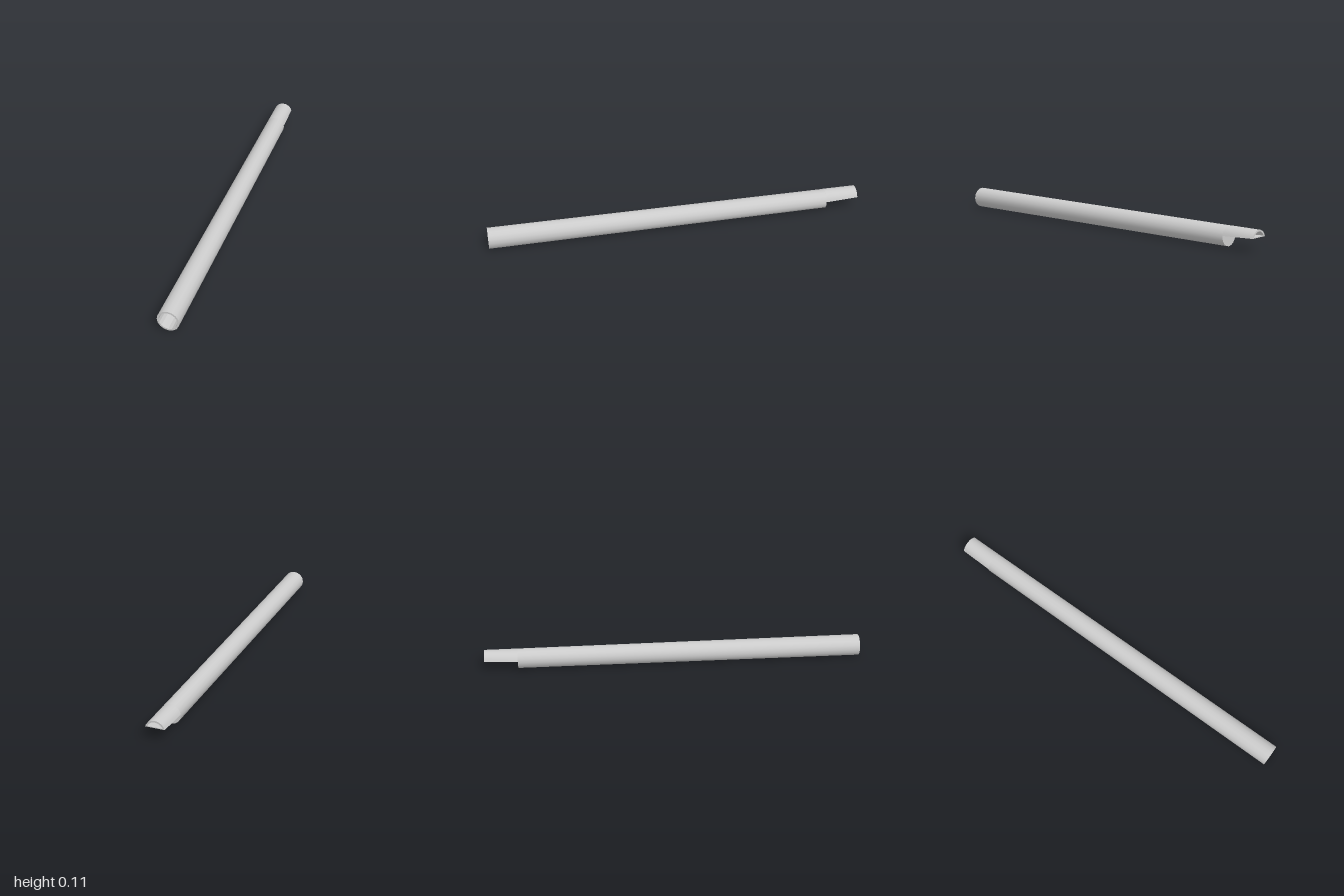
import * as THREE from 'three';
import { toCreasedNormals } from 'three/addons/utils/BufferGeometryUtils.js';

const AXIS_Y = 0.057, SIDES = 16;
const FRONT_Z = 1, STEP_Z = -0.825, BACK_Z = -1;

// outer radius of the slightly tapering barrel
const outerRadius = (z) => THREE.MathUtils.mapLinear(z, BACK_Z, FRONT_Z, 0.0515, 0.056);

// full round cross-section
function circle(r, z) {
  return Array.from({ length: SIDES }, (_, i) => {
    const a = (i / SIDES) * Math.PI * 2;
    return new THREE.Vector3(r * Math.cos(a), AXIS_Y + r * Math.sin(a), z);
  });
}

// D-shaped cross-section: the part of a circle above a flat floor
function arch(r, floor, z) {
  const a0 = Math.asin(floor / r), n = 10;
  return Array.from({ length: n + 1 }, (_, i) => {
    const a = a0 + (i / n) * (Math.PI - 2 * a0);
    return new THREE.Vector3(r * Math.cos(a), AXIS_Y + r * Math.sin(a), z);
  });
}

// all points of a loop drawn together, which closes an end
function closeLoop(loop) {
  const c = loop.reduce((s, p) => s.add(p), new THREE.Vector3()).divideScalar(loop.length);
  return loop.map(() => c);
}

// skin between successive closed loops
function loft(loops) {
  const pos = [];
  for (let k = 0; k < loops.length - 1; k++) {
    const n = loops[k].length;
    for (let i = 0; i < n; i++) {
      const j = (i + 1) % n;
      const a = loops[k][i], b = loops[k][j], c = loops[k + 1][i], d = loops[k + 1][j];
      for (const p of [a, c, b, b, c, d]) pos.push(p.x, p.y, p.z);
    }
  }
  const geo = new THREE.BufferGeometry();
  geo.setAttribute('position', new THREE.Float32BufferAttribute(pos, 3));
  return geo;
}

export function createModel() {
  const group = new THREE.Group();
  const add = (name, loops, crease) => {
    const geo = toCreasedNormals(loft(loops), crease);
    const mesh = new THREE.Mesh(geo, new THREE.MeshStandardMaterial({ color: 0xcccccc }));
    mesh.name = name;
    group.add(mesh);
  };

  // tapered barrel with front rim and the step face at the back
  const rim = circle(0.047, FRONT_Z);
  const step = circle(outerRadius(STEP_Z), STEP_Z);
  add('barrel', [rim, circle(outerRadius(FRONT_Z), FRONT_Z), step, closeLoop(step)], 0.7);

  // faceted conical bore, closed at its narrow end
  const boreEnd = circle(0.02, STEP_Z + 0.025);
  add('bore', [closeLoop(boreEnd), boreEnd, rim], 0.1);

  // half-round tongue with a rising flat underside and a hollow, open end
  const pocketEnd = arch(0.043, 0.012, STEP_Z + 0.01);
  add('tongue', [
    arch(outerRadius(STEP_Z), 0.006, STEP_Z),
    arch(outerRadius(BACK_Z), 0.014, BACK_Z),
    arch(0.043, 0.018, BACK_Z),
    pocketEnd,
    closeLoop(pocketEnd),
  ], 0.7);

  return group;
}
